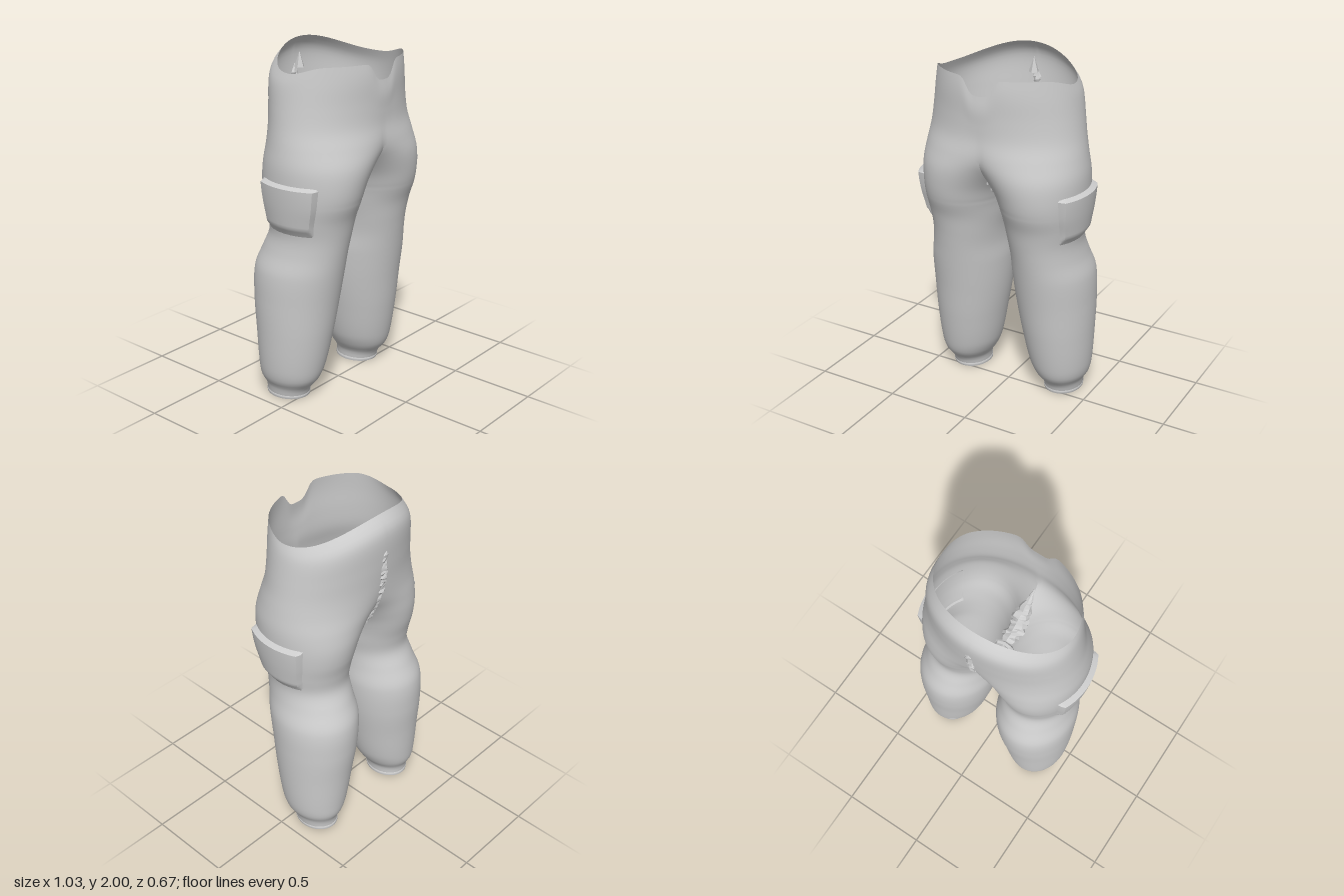
import * as THREE from 'three';
import { toCreasedNormals } from 'three/addons/utils/BufferGeometryUtils.js';

// Cross-section keys of one leg: y, inner x, outer x, front z, back z
const KEYS = [
  [0.00, 0.205, 0.42, 0.015, -0.24],
  [0.05, 0.200, 0.43, 0.03, -0.243],
  [0.07, 0.195, 0.435, 0.045, -0.25],
  [0.12, 0.160, 0.465, 0.085, -0.275],
  [0.20, 0.125, 0.482, 0.112, -0.287],
  [0.40, 0.083, 0.495, 0.15, -0.305],
  [0.60, 0.050, 0.50, 0.18, -0.325],
  [0.78, 0.036, 0.495, 0.21, -0.322],
  [0.90, 0.042, 0.465, 0.23, -0.275],
  [1.00, 0.036, 0.452, 0.248, -0.235],
  [1.10, 0.018, 0.465, 0.27, -0.245],
  [1.20, 0.000, 0.476, 0.305, -0.27],
  [1.30, -0.04, 0.482, 0.325, -0.285],
  [1.40, -0.13, 0.482, 0.335, -0.29],
  [1.50, -0.28, 0.468, 0.33, -0.297],
  [1.60, -0.39, 0.45, 0.317, -0.308],
  [1.70, -0.43, 0.435, 0.317, -0.322],
  [1.80, -0.42, 0.42, 0.32, -0.33],
  [1.85, -0.41, 0.41, 0.318, -0.317],
  [1.90, -0.395, 0.395, 0.312, -0.27],
];
const TOP = 1.9;
const smooth = THREE.MathUtils.smoothstep;

// Smooth interpolation of the keys at height y
function section(y) {
  let i = 0;
  while (i < KEYS.length - 2 && y > KEYS[i + 1][0]) i++;
  const slope = (n, k) => {
    const a = KEYS[Math.max(n - 1, 0)], b = KEYS[Math.min(n + 1, KEYS.length - 1)];
    return (b[k] - a[k]) / (b[0] - a[0]);
  };
  const a = KEYS[i], b = KEYS[i + 1], h = b[0] - a[0], t = (y - a[0]) / h;
  const [xi, xo, zf, zb] = [1, 2, 3, 4].map((k) =>
    a[k] * (1 + 2 * t) * (1 - t) ** 2 + b[k] * t * t * (3 - 2 * t) +
    h * (slope(i, k) * t * (1 - t) ** 2 - slope(i + 1, k) * t * t * (1 - t)));
  return { cx: (xi + xo) / 2, rx: (xo - xi) / 2, cz: (zf + zb) / 2, rz: (zf - zb) / 2 };
}

// Angle at which the section meets the middle plane (PI for a closed leg)
const reach = ({ cx, rx }) => (cx >= rx ? Math.PI : Math.acos(-cx / rx));

// Waist edge: low at the sides, high at the back, notched at the front
function rimHeight(x, z) {
  if (z < 0) return 1.89 + 0.11 * (-z / 0.27) ** 2.5;
  return 1.89 + 0.045 * smooth(z, 0, 0.2) - 0.095 * Math.exp(-((x / 0.085) ** 4)) * smooth(z, 0.1, 0.25);
}

function surfacePoint(y, phi, offset = 0) {
  const s = section(y);
  const x = s.cx + (s.rx + offset) * Math.cos(phi);
  const z = s.cz + (s.rz + offset) * Math.sin(phi);
  const r = section(TOP);
  const k = r.rz / s.rz;
  const rise = (rimHeight(x, r.cz + (z - s.cz) * k) - TOP) * smooth(y, 1.55, TOP);
  return new THREE.Vector3(x, y + rise, z);
}

// Grid of (u, v) points, mirrored when side is -1
function sheet(cols, rows, side, point) {
  const pos = [], index = [], w = cols + 1;
  for (let j = 0; j <= rows; j++) {
    for (let i = 0; i <= cols; i++) {
      const p = point(i / cols, j / rows);
      pos.push(p.x * side, p.y, p.z);
      if (i === cols || j === rows) continue;
      const a = j * w + i, b = a + w;
      if (side > 0) index.push(a, b, a + 1, a + 1, b, b + 1);
      else index.push(a, a + 1, b, a + 1, b + 1, b);
    }
  }
  const g = new THREE.BufferGeometry();
  g.setAttribute('position', new THREE.Float32BufferAttribute(pos, 3));
  g.setIndex(index);
  g.computeVertexNormals();
  return g;
}

// Half of the trousers: a leg that opens into half of the hips
function halfBody(side) {
  const cols = 64, rows = 100;
  const g = sheet(cols, rows, side, (u, v) => {
    const y = v * TOP;
    return surfacePoint(y, reach(section(y)) * (2 * u - 1));
  });
  // Blend normals along the inner leg seam and the middle of the hips
  const n = g.attributes.normal, p = new THREE.Vector3(), q = new THREE.Vector3();
  for (let j = 0; j <= rows; j++) {
    const y = (j / rows) * TOP, a = j * (cols + 1), b = a + cols;
    p.fromBufferAttribute(n, a);
    q.fromBufferAttribute(n, b);
    if (y < 1.19) {
      p.add(q);
      q.copy(p);
    } else if (y > 1.48) {
      p.x = q.x = 0;
    }
    p.normalize();
    q.normalize();
    n.setXYZ(a, p.x, p.y, p.z);
    n.setXYZ(b, q.x, q.y, q.z);
  }
  return g;
}

// Cargo pocket: raised patch, thick at the top and fading downwards
function pocket(side) {
  const g = sheet(22, 20, side, (u, v) => {
    const y = 1.02 + 0.3 * v;
    const phi = THREE.MathUtils.lerp(-0.62, 0.72, u);
    const edge = Math.min(1, Math.min(u, 1 - u) / 0.09, (1 - v) / 0.05, v / 0.2);
    return surfacePoint(y, phi, -0.006 + edge * (0.026 + 0.012 * v));
  });
  return toCreasedNormals(g, 0.6);
}

// Crumpled seam down the back, under the crotch and up to the front
function seam() {
  const path = new THREE.CatmullRomCurve3([
    [1.84, -0.318], [1.72, -0.316], [1.58, -0.296], [1.48, -0.27], [1.39, -0.22], [1.29, -0.13],
    [1.23, 0], [1.29, 0.13], [1.37, 0.22], [1.45, 0.285],
  ].map(([y, z]) => new THREE.Vector3(0, y, z)));
  const steps = 70, ring = 8;
  const g = new THREE.TubeGeometry(path, steps, 1, ring);
  const pos = g.attributes.position, p = new THREE.Vector3(), c = new THREE.Vector3();
  let seed = 7;
  const rand = () => (seed = (seed * 16807) % 2147483647) / 2147483647;
  for (let i = 0; i <= steps; i++) {
    const t = i / steps;
    path.getPointAt(t, c);
    const radius = (0.017 + 0.02 * smooth(t, 0.35, 0.5) * (1 - smooth(t, 0.8, 1))) * Math.min(1, t * 20 + 0.1, (1 - t) * 10 + 0.1);
    for (let k = 0; k <= ring; k++) {
      const id = i * (ring + 1) + k;
      if (k === ring) {
        p.fromBufferAttribute(pos, id - ring);
      } else {
        p.fromBufferAttribute(pos, id).sub(c).multiplyScalar(radius * (0.65 + 0.75 * rand()));
        p.x *= 1.2;
        p.add(c);
      }
      pos.setXYZ(id, p.x, p.y, p.z);
    }
  }
  return toCreasedNormals(g, 0.3);
}

export function createModel() {
  const cloth = new THREE.MeshStandardMaterial({ color: 0xcccccc, side: THREE.DoubleSide });
  cloth.name = 'grey cloth';
  const model = new THREE.Group();
  model.name = 'trousers';
  const add = (name, geometry) => {
    const mesh = new THREE.Mesh(geometry, cloth);
    mesh.name = name;
    model.add(mesh);
  };
  for (const side of [1, -1]) {
    const label = side > 0 ? 'left' : 'right';
    add(label + 'Leg', halfBody(side));
    add(label + 'Pocket', pocket(side));
    // Narrow hem around the ankle opening
    add(label + 'Hem', sheet(48, 3, side, (u, v) =>
      surfacePoint(0.02 * v, Math.PI * (2 * u - 1), v < 1 ? 0.004 : 0)));
  }
  add('crotchSeam', seam());
  // Loose tab inside the back of the waist
  const tab = new THREE.ConeGeometry(0.03, 0.09, 5).toNonIndexed();
  tab.computeVertexNormals();
  tab.translate(0, 1.87, -0.28);
  add('innerTab', tab);
  return model;
}
